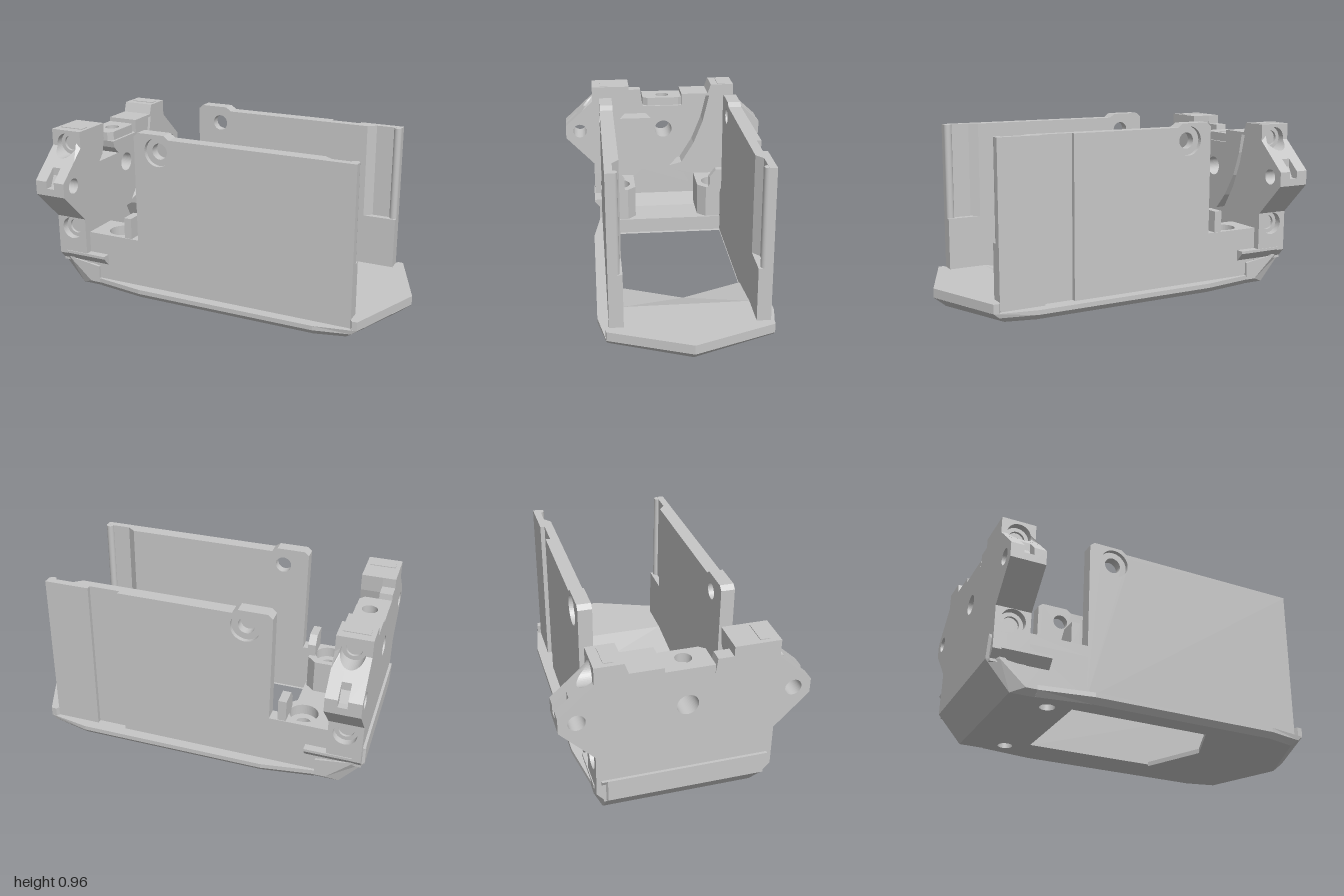
import * as THREE from 'three';

const grey = new THREE.MeshStandardMaterial({ color: 0xc6c6c6 });
grey.name = 'light grey';

const circle = (u, v, r) => {
  const p = new THREE.Path();
  p.absarc(u, v, r, 0, Math.PI * 2, false);
  return p;
};
const poly = (pts) => new THREE.Path(pts.map(([u, v]) => new THREE.Vector2(u, v)));

// Extruded outline with holes, from 0 to depth along z
function prism(pts, depth, holes = []) {
  const shape = new THREE.Shape(pts.map(([u, v]) => new THREE.Vector2(u, v)));
  shape.holes.push(...holes);
  return new THREE.ExtrudeGeometry(shape, { depth, bevelEnabled: false, curveSegments: 24 });
}
// Outline in (x, -z), raised from y0 to y1
const slab = (pts, y0, y1, holes) =>
  prism(pts, y1 - y0, holes).rotateX(-Math.PI / 2).translate(0, y0, 0);
// Outline in (-z, y), running from x0 to x1
const crosswise = (pts, x0, x1, holes) =>
  prism(pts, x1 - x0, holes).rotateY(Math.PI / 2).translate(x0, 0, 0);
// Outline in (x, y), running from z0 to z1, put on side s
const along = (pts, z0, z1, s, holes) =>
  prism(pts, z1 - z0, holes).translate(0, 0, s > 0 ? z0 : -z1);
// Moves every vertex by a rule that returns its new position
function reshape(geometry, rule) {
  const p = geometry.attributes.position;
  for (let i = 0; i < p.count; i++) p.setXYZ(i, ...rule(p.getX(i), p.getY(i), p.getZ(i)));
  geometry.computeVertexNormals();
  return geometry;
}

const mirrorV = (half) => [...half, ...half.slice().reverse().map(([u, v]) => [u, -v])];
const flip = (pts) => pts.map(([z, y]) => [-z, y]);

export function createModel() {
  const group = new THREE.Group();
  const add = (name, geometry) => {
    const mesh = new THREE.Mesh(geometry, grey);
    mesh.name = name;
    group.add(mesh);
  };
  const box = (name, x0, x1, y0, y1, z0, z1) =>
    add(name, new THREE.BoxGeometry(x1 - x0, y1 - y0, z1 - z0)
      .translate((x0 + x1) / 2, (y0 + y1) / 2, (z0 + z1) / 2));

  // Base plate with a pointed nose, central opening and chamfered underside
  const opening = [[-0.52, 0.34], [0.27, 0.34], [0.42, 0], [0.27, -0.34], [-0.52, -0.34]];
  const outline = mirrorV([[-0.74, 0.428], [-0.45, 0.472], [0.6, 0.472], [0.83, 0.43], [1, 0.002]]);
  const chamfer = (x, y, z) => {
    if (Math.abs(z) < 0.38 && x < 0.9) return [x, y, z];
    const nose = x > 0.8 ? 0.065 * (1 - y / 0.055) : 0;
    return [x - nose, y, z * (1 - 0.055 * Math.max(0, 1 - y / 0.03))];
  };
  for (const [y0, y1] of [[0, 0.03], [0.03, 0.055]]) {
    const holes = [poly(opening), circle(-0.64, 0.31, 0.04), circle(-0.64, -0.31, 0.04)];
    add('basePlate', reshape(slab(outline, y0, y1, holes), chamfer));
  }

  // Raised nose deck and the slope leading down to the opening
  add('noseDeck', slab([[0.58, 0.4], [0.78, 0.4], [0.8, 0.433], [0.83, 0.43], [1, 0], [0.83, -0.43], [0.8, -0.433],
    [0.78, -0.4], [0.58, -0.4], [0.58, -0.34], [0.71, 0], [0.58, 0.34]], 0.055, 0.105));
  add('floorSlope', reshape(
    slab([[0.27, 0.34], [0.58, 0.34], [0.71, 0], [0.58, -0.34], [0.27, -0.34], [0.42, 0]], 0.03, 0.105),
    (x, y, z) => [x, x < 0.5 ? Math.min(y, 0.056) : y, z]));

  // Side walls: inner layer, core, outer layer with counterbore
  const wallLeft = [[-0.26, 0.935], [-0.29, 0.957], [-0.45, 0.957], [-0.475, 0.935], [-0.475, 0.04]];
  const inner = [[0.79, 0.04], [0.79, 0.4], [0.6, 0.4], [0.6, 0.935], ...wallLeft];
  const full = [[0.79, 0.04], [0.79, 0.935], ...wallLeft];
  const cut = [[0.37, 0.04], [0.37, 0.935], ...wallLeft];
  for (const s of [1, -1]) {
    add('wallInner', along(inner, 0.34, 0.375, s, [circle(-0.33, 0.86, 0.045)]));
    add('wallCore', along(full, 0.375, 0.39, s, [circle(-0.33, 0.86, 0.045)]));
    add('wallOuter', along(s > 0 ? full : cut, 0.39, 0.415, s, [circle(-0.33, 0.86, 0.08)]));
    if (s < 0) box('wallOuterEnd', 0.54, 0.79, 0.04, 0.935, -0.415, -0.39);

    // Bevelled edge of the groove and rounded lip at the wall end
    add('grooveBevel', slab([[0.6, -s * 0.34], [0.645, -s * 0.375], [0.6, -s * 0.375]], 0.4, 0.935));
    add('wallLip', new THREE.CylinderGeometry(0.022, 0.022, 0.535, 16).translate(0.768, 0.667, s * 0.375));

    // Screw block with counterbore, guide post and side shelf
    const t = -s;
    const block = [[-0.8, t * 0.415], [-0.475, t * 0.415], [-0.475, t * 0.34], [-0.53, t * 0.34],
      [-0.53, t * 0.25], [-0.58, t * 0.2], [-0.8, t * 0.2]];
    add('screwBlock', slab(block, 0.04, 0.27, [circle(-0.64, t * 0.31, 0.04)]));
    add('screwBlockTop', slab(block, 0.27, 0.33, [circle(-0.64, t * 0.31, 0.078)]));
    add('guidePost', crosswise(flip([[s * 0.41, 0.3], [s * 0.41, 0.45], [s * 0.31, 0.45], [s * 0.27, 0.4], [s * 0.27, 0.3]]),
      -0.565, -0.52));
    add('sideShelf', crosswise(flip([[s * 0.4, 0.15], [s * 0.42, 0.15], [s * 0.46, 0.195], [s * 0.46, 0.21], [s * 0.4, 0.21]]),
      -0.94, -0.68));

    // Bored bolt seats in the ears, the upper one following the ear slope
    const seat = (y0, ym, y1, yc) => {
      const pts = [[-0.985, y0], [-0.8, y0], [-0.8, ym], [-0.8, y1], [-0.985, y1], [-0.985, ym]];
      add('boltSeat', along(pts, 0.4, 0.415, s, [circle(-0.89, yc, 0.042)]));
      return along(pts, 0.415, 0.455, s, [circle(-0.89, yc, 0.064)]);
    };
    add('boltSeatLower', seat(0.28, 0.35, 0.42, 0.355));
    add('boltSeatUpper', reshape(seat(0.78, 0.84, 0.932, 0.85), (x, y, z) =>
      [x, y, Math.abs(z) > 0.45 ? z + s * Math.max(0, 0.84 - y) * 1.09 : z]));

    // Small raised cap on the pillar
    box('pillarCap', -0.96, -0.82, 0.92, 0.936, s * 0.38 - 0.025, s * 0.38 + 0.025);
  }

  // Low bridge between the screw blocks
  box('bridge', -0.82, -0.52, 0.04, 0.13, -0.34, 0.34);

  // End block with sloped underside and chamfered corners
  const endProfile = [[-1, 0.27], [-1, 0.15], [-0.87, 0], [-0.74, 0], [-0.74, 0.13], [-0.92, 0.155], [-0.98, 0.27]];
  add('endBlock', along(endProfile, -0.4, 0.4, 1));
  for (const s of [1, -1]) {
    add('endBlockCorner', reshape(along(endProfile, 0.4, 0.43, s), (x, y, z) => {
      if (Math.abs(z) < 0.42) return [x, y, z];
      if (y < 0.01) return [x < -0.8 ? -0.8 : x, 0.03, z];
      return [x < -0.99 && y < 0.2 ? -0.935 : x, y, z];
    }));
  }

  // End plate in three layers: closed back, notched middle, pocketed face
  const ear = (s, notch) => [[0.42, 0.15], [0.455, 0.19], [0.455, 0.28], [0.4, 0.28], [0.4, 0.42], [0.455, 0.42],
    [0.63, 0.6], ...(notch ? [[0.63, 0.64], [0.59, 0.64], [0.56, 0.7], [0.56, 0.744]] : [[0.63, 0.68]]),
    [0.52, 0.78], [0.4, 0.78], [0.4, 0.932]].map(([z, y]) => [s * z, y]);
  const topRight = [[-0.12, 0.8], [-0.12, 0.875], [-0.29, 0.875], [-0.31, 0.932]];
  const topBack = [[0.22, 0.932], [0.22, 0.88], [0.14, 0.88], [0.13, 0.8], ...topRight];
  const topFace = [[0.22, 0.932], [0.225, 0.84], [0.245, 0.76], [0.28, 0.72], [0.08, 0.72],
    [0.12, 0.76], [0.13, 0.8], ...topRight];
  const underBack = [[-0.42, 0.135], [0.42, 0.135]];
  const underFace = [[-0.42, 0.135], [-0.24, 0.135], [-0.24, 0.17], [-0.19, 0.23], [-0.14, 0.33], [-0.04, 0.37],
    [0.14, 0.37], [0.2, 0.31], [0.27, 0.25], [0.27, 0.135], [0.42, 0.135]];
  const plate = (top, under, notch) =>
    flip([...ear(1, notch), ...top, ...ear(-1, notch).reverse(), ...under]);
  const holes = () => [circle(0, 0.645, 0.055), circle(0.54, 0.645, 0.043), circle(-0.54, 0.645, 0.043)];
  const channel = () => poly(flip([[-0.27, 0.86], [-0.25, 0.75], [-0.2, 0.61], [-0.12, 0.48], [-0.04, 0.39],
    [-0.12, 0.41], [-0.2, 0.54], [-0.26, 0.69], [-0.3, 0.86]]));
  add('endPlateBack', crosswise(plate(topBack, underBack, false), -0.985, -0.915, holes()));
  add('endPlateMiddle', crosswise(plate(topFace, underFace, true), -0.915, -0.865, [...holes(), channel()]));
  add('endPlateFace', crosswise(plate(topFace, underFace, false), -0.865, -0.8, [...holes(), channel()]));

  // Top mount with a vertical screw hole
  add('topMount', slab([[-0.985, 0.13], [-0.84, 0.13], [-0.815, 0.1], [-0.815, -0.1], [-0.84, -0.13], [-0.985, -0.13]],
    0.8, 0.85, [circle(-0.89, 0, 0.042)]));

  return group;
}
